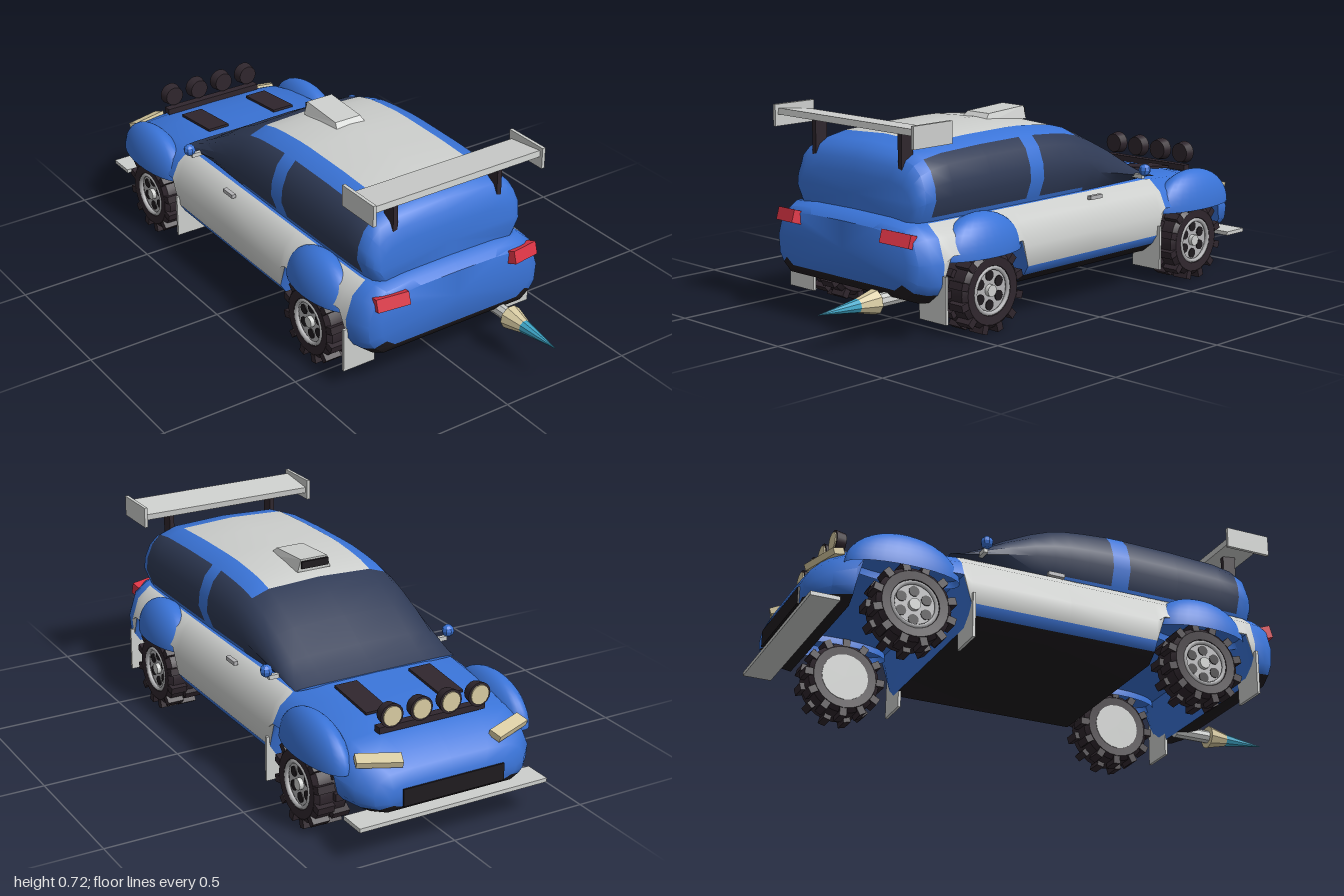
import * as THREE from 'three';
import { toCreasedNormals } from 'three/addons/utils/BufferGeometryUtils.js';

const mat = (name, color, side = THREE.FrontSide) => {
  const m = new THREE.MeshStandardMaterial({ color, side });
  m.name = name;
  return m;
};

export function createModel() {
  const car = new THREE.Group();
  car.name = 'rallyCar';
  const blue = mat('bodyBlue', 0x3a74d8, THREE.DoubleSide);
  const grey = mat('panelGrey', 0xcdcfcd);
  const glass = mat('glassNavy', 0x2f3a55);
  const black = mat('trimBlack', 0x1f1b1f);
  const dark = mat('rubberDark', 0x2f262d);
  const red = mat('lampRed', 0xdc3545);
  const cream = mat('lampCream', 0xd8cba2);
  const cyan = mat('flameCyan', 0x3da6c8);
  const rimGrey = mat('rimGrey', 0xb4b4b6);

  const add = (name, geo, material, x = 0, y = 0, z = 0, parent = car) => {
    const m = new THREE.Mesh(geo, material);
    m.name = name;
    m.position.set(x, y, z);
    parent.add(m);
    return m;
  };
  const box = (name, material, w, h, d, x, y, z, parent) =>
    add(name, new THREE.BoxGeometry(w, h, d), material, x, y, z, parent);
  const flat = (geo) => { const g = geo.toNonIndexed(); g.computeVertexNormals(); return g; };

  // Mirrored half-rings lofted from rear to front; pick() chooses a material per cell
  function loft(name, halves, mats, pick, crease) {
    const n = halves[0].length - 1;
    const rings = halves.map((h) => [...h, ...h.slice(1, n).reverse().map((p) => new THREE.Vector3(-p.x, p.y, p.z))]);
    const lists = mats.map(() => []);
    const tri = (mi, a, b, c) => {
      const area = b.clone().sub(a).cross(c.clone().sub(a)).length();
      if (area > 1e-8) [a, b, c].forEach((p) => lists[mi].push(p.x, p.y, p.z));
    };
    const N = 2 * n;
    for (let i = 0; i < rings.length - 1; i++) {
      for (let k = 0; k < N; k++) {
        const a = rings[i][k], b = rings[i][(k + 1) % N];
        const c = rings[i + 1][(k + 1) % N], d = rings[i + 1][k];
        const m = pick((a.z + d.z) / 2, k < n ? k : N - 1 - k);
        tri(m, a, b, c);
        tri(m, a, c, d);
      }
    }
    [rings[0], rings[rings.length - 1]].forEach((r, e) => {
      const mid = new THREE.Vector3(0, (r[0].y + r[n].y) / 2, r[0].z);
      for (let k = 0; k < N; k++) {
        const p = r[k], q = r[(k + 1) % N];
        e ? tri(0, mid, p, q) : tri(0, mid, q, p);
      }
    });
    const geo = new THREE.BufferGeometry();
    let start = 0;
    lists.forEach((l, i) => { geo.addGroup(start, l.length / 3, i); start += l.length / 3; });
    geo.setAttribute('position', new THREE.Float32BufferAttribute(lists.flat(), 3));
    return add(name, toCreasedNormals(geo, crease), mats);
  }

  // Lower body: z, half width, top, bottom; the bottom lifts over the wheels
  const ARCH = 0.29;
  const bodyStations = [
    [0.722, 0.31, 0.372, 0.18], [0.705, 0.35, 0.392, 0.15], [0.665, 0.372, 0.405, 0.135],
    [0.62, 0.38, 0.405, 0.13], [0.585, 0.383, 0.405, ARCH], [0.26, 0.385, 0.405, ARCH],
    [0.23, 0.385, 0.405, 0.13], [-0.1, 0.385, 0.405, 0.13], [-0.46, 0.383, 0.405, 0.13],
    [-0.49, 0.383, 0.402, ARCH], [-0.6, 0.375, 0.395, ARCH], [-0.72, 0.37, 0.383, ARCH],
    [-0.825, 0.36, 0.362, ARCH], [-0.85, 0.355, 0.354, 0.14], [-0.92, 0.33, 0.32, 0.14],
    [-0.965, 0.285, 0.28, 0.145], [-0.984, 0.24, 0.24, 0.165],
  ];
  const bodyRows = [[0, 1], [0.5, 0.99], [0.8, 0.95], [0.93, 0.8], [1, 0.5], [0.985, 0.24], [0.93, 0.12], [0.82, 0], [0, 0]];
  const inArch = (z) => (z > 0.23 && z < 0.62) || (z > -0.85 && z < -0.46);
  loft('lowerBody', bodyStations.map(([z, w, top, bot]) => {
    const base = bot === ARCH ? 0.13 : bot;
    return bodyRows.map(([fx, fy]) => new THREE.Vector3(fx * w, Math.max(bot, base + fy * (top - base)), z));
  }), [blue, grey, black], (z, k) => {
    if (k >= 6 && !inArch(z)) return 2;
    return k >= 2 && k <= 4 && z < 0.62 && z > -0.49 ? 1 : 0;
  }, 0.7);

  // Cabin: z, half width, height; windows, windscreen and roof panel are loft cells
  const cabinStations = [
    [0.668, 0.28, 0.13], [0.658, 0.3, 0.175], [0.638, 0.316, 0.21], [0.6, 0.323, 0.23],
    [0.525, 0.325, 0.244], [0.35, 0.326, 0.253], [0.16, 0.326, 0.256], [0.095, 0.326, 0.255],
    [0, 0.325, 0.247], [-0.07, 0.324, 0.238], [-0.13, 0.323, 0.222], [-0.2, 0.321, 0.192],
    [-0.3, 0.318, 0.137], [-0.4, 0.315, 0.07], [-0.46, 0.312, 0.032], [-0.51, 0.31, 0.008],
  ];
  const cabinRows = [[0, 1], [0.62, 0.96], [0.82, 0.86], [0.92, 0.72], [0.985, 0.5], [1, 0.3], [0.93, 0.05], [0.9, -0.05], [0, -0.05]];
  loft('cabin', cabinStations.map(([z, w, h]) =>
    cabinRows.map(([fx, fy]) => new THREE.Vector3(fx * w, 0.395 + fy * h, z))),
  [blue, glass, grey], (z, k) => {
    if (z < -0.13) return 1;
    if (k === 0 && z < 0.525) return 2;
    const pillar = z > 0.095 && z < 0.16;
    return k >= 2 && k <= 5 && z < 0.6 && !pillar ? 1 : 0;
  }, 0.7);

  // Wheel with staggered tread blocks; outer face points to +x
  const tyreProfile = [[0.07, -0.06], [0.115, -0.062], [0.13, -0.048], [0.13, 0.048], [0.115, 0.062], [0.085, 0.06], [0.075, 0.035]]
    .map(([r, y]) => new THREE.Vector2(r, y));
  function wheel() {
    const g = new THREE.Group();
    g.name = 'wheel';
    const disc = (name, m, r, h, x, y = 0, z = 0) => {
      add(name, new THREE.CylinderGeometry(r, r, h, 20), m, x, y, z, g).rotation.z = Math.PI / 2;
    };
    add('tyre', toCreasedNormals(new THREE.LatheGeometry(tyreProfile, 24), 0.6), dark, 0, 0, 0, g).rotation.z = -Math.PI / 2;
    for (let i = 0; i < 24; i++) {
      const a = (i / 24) * Math.PI * 2, s = i % 2 ? 1 : -1;
      const b = box('treadBlock', dark, 0.062, 0.03, 0.026, s * 0.031, 0.131 * Math.cos(a), 0.131 * Math.sin(a), g);
      b.rotation.x = a;
    }
    disc('innerDisc', grey, 0.085, 0.012, -0.057);
    disc('rimDisc', rimGrey, 0.078, 0.03, 0.03);
    const lip = add('rimLip', new THREE.TorusGeometry(0.077, 0.008, 6, 24), rimGrey, 0.055, 0, 0, g);
    lip.rotation.y = Math.PI / 2;
    for (let i = 0; i < 6; i++) {
      const a = (i / 6) * Math.PI * 2;
      disc('rimHole', black, 0.018, 0.006, 0.045, 0.05 * Math.cos(a), 0.05 * Math.sin(a));
    }
    disc('hub', grey, 0.02, 0.02, 0.05);
    return g;
  }

  // Paired parts on both sides
  for (const s of [1, -1]) {
    for (const z of [0.41, -0.66]) {
      const w = wheel();
      w.position.set(s * 0.328, 0.146, z);
      if (s < 0) w.rotation.y = Math.PI;
      car.add(w);
    }
    for (const [z, x, rx, rz] of [[0.415, 0.33, 0.085, 0.182], [-0.69, 0.34, 0.072, 0.2]]) {
      const f = add('fender', new THREE.SphereGeometry(1, 28, 10, 0, Math.PI * 2, 0, Math.PI / 2), blue, s * x, 0.265, z);
      f.scale.set(rx, 0.14, rz);
    }
    for (const z of [0.62, -0.455]) box('mudFlap', grey, 0.125, 0.16, 0.01, s * 0.328, 0.15, z);

    const tail = box('tailLight', red, 0.115, 0.045, 0.035, s * 0.27, 0.35, 0.72);
    tail.rotation.set(-0.3, s * 0.22, 0);
    const head = box('headlight', cream, 0.15, 0.022, 0.045, s * 0.245, 0.312, -0.925);
    head.rotation.set(-0.35, -s * 0.34, -s * 0.06);

    box('mirrorStem', grey, 0.05, 0.015, 0.015, s * 0.325, 0.415, -0.4);
    add('mirror', flat(new THREE.SphereGeometry(0.022, 8, 6)), blue, s * 0.357, 0.44, -0.4);
    box('doorHandle', rimGrey, 0.016, 0.014, 0.06, s * 0.35, 0.378, -0.14);
    box('hoodVent', dark, 0.085, 0.009, 0.2, s * 0.143, 0.395, -0.65).rotation.x = -0.095;

    box('spoilerStrut', dark, 0.018, 0.14, 0.05, s * 0.212, 0.615, 0.63);
    box('spoilerEndPlate', grey, 0.012, 0.075, 0.17, s * 0.341, 0.685, 0.635);
  }

  // Spoiler wing
  const wing = box('spoilerWing', grey, 0.672, 0.022, 0.145, 0, 0.69, 0.635);
  wing.rotation.x = -0.12;

  // Roof scoop with bevelled lid, built from a tapered box
  const scoopGeo = new THREE.BoxGeometry(0.13, 0.045, 0.21);
  const sp = scoopGeo.attributes.position;
  for (let i = 0; i < sp.count; i++) {
    if (sp.getY(i) > 0) {
      sp.setX(i, sp.getX(i) * 0.8);
      if (sp.getZ(i) > 0) sp.setXYZ(i, sp.getX(i), 0.012, 0.07);
    }
  }
  add('roofScoop', flat(scoopGeo), grey, 0, 0.652, 0.015);
  box('scoopMouth', black, 0.105, 0.026, 0.012, 0, 0.655, -0.093);

  // Nose: grille and splitter
  box('grille', black, 0.38, 0.06, 0.03, 0, 0.195, -0.975);
  box('frontSplitter', grey, 0.71, 0.014, 0.1, 0, 0.128, -0.95);

  // Spotlights on a hood bar
  box('lightBar', dark, 0.4, 0.022, 0.03, 0, 0.372, -0.84);
  for (let i = 0; i < 4; i++) {
    const x = (i - 1.5) * 0.11;
    add('spotlight', new THREE.CylinderGeometry(0.042, 0.036, 0.035, 16), dark, x, 0.425, -0.855).rotation.x = -Math.PI / 2;
    add('spotlightLens', new THREE.CylinderGeometry(0.034, 0.034, 0.006, 16), cream, x, 0.425, -0.874).rotation.x = -Math.PI / 2;
  }

  // Exhaust pipe and flame pointing rearwards
  const along = (name, r0, r1, z0, z1, m) => {
    const g = flat(new THREE.CylinderGeometry(r1, r0, z1 - z0, 9));
    add(name, g, m, 0.2, 0.14, (z0 + z1) / 2).rotation.x = Math.PI / 2;
  };
  along('exhaustPipe', 0.024, 0.024, 0.62, 0.77, grey);
  along('flameBase', 0.043, 0.02, 0.76, 0.85, cream);
  along('flameTip', 0.026, 0, 0.82, 1, cyan);

  return car;
}
